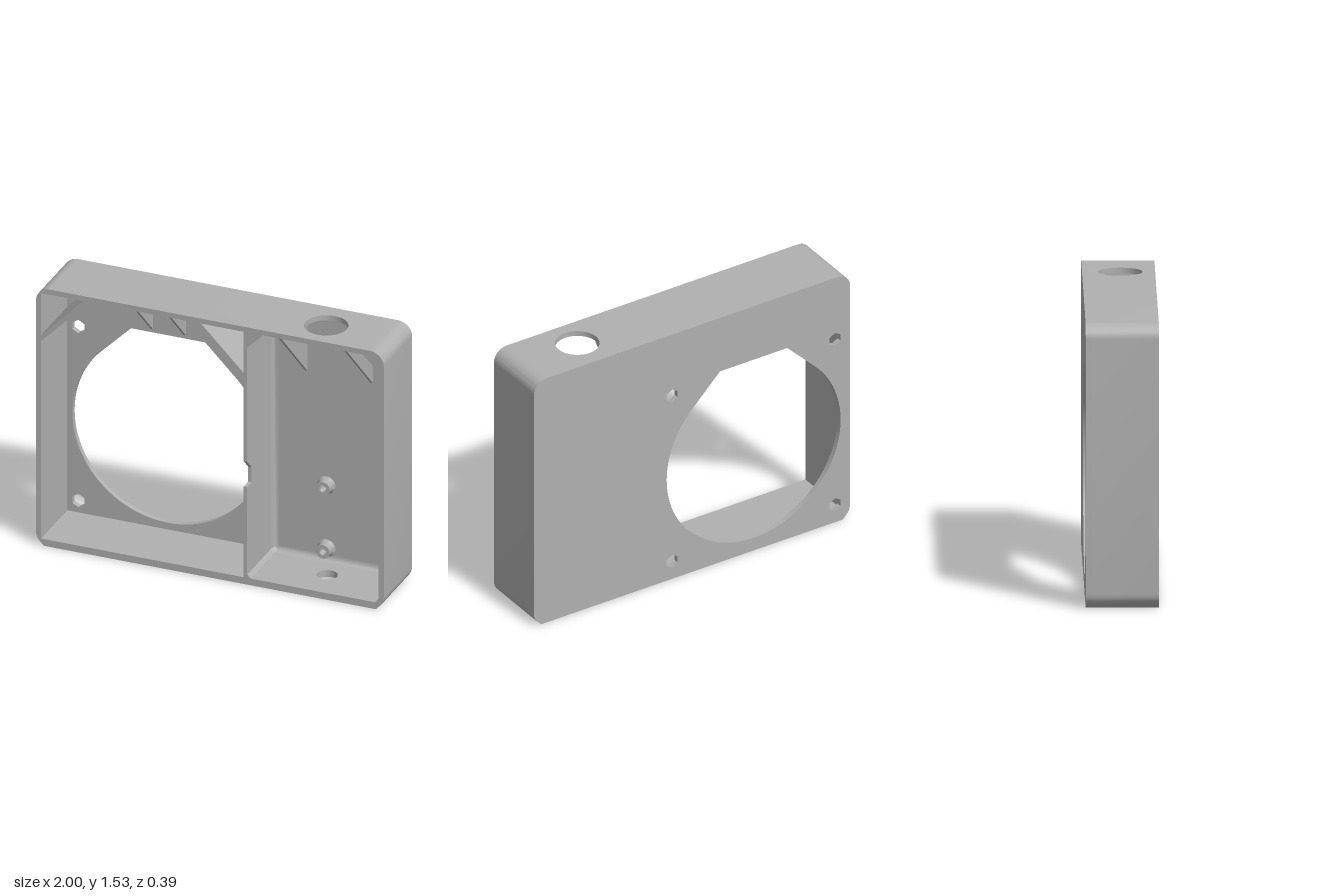
import * as THREE from 'three';
import { toCreasedNormals } from 'three/addons/utils/BufferGeometryUtils.js';

const BACK = -0.194, FLOOR = -0.164, FRONT = 0.194, DEPTH = FRONT - FLOOR;
const H = 1.53, TOP = 1.5, BASE = 0.04, R = 0.08;
const X1 = 0.45, X2 = 0.73; // span of the drilled wall panels

const poly = (pts, Type = THREE.Shape) => new Type(pts.map(p => new THREE.Vector2(p[0], p[1])));

// points along an arc, angles in degrees
function arc(cx, cy, r, a0, a1, n) {
  return Array.from({ length: n + 1 }, (_, i) => {
    const a = THREE.MathUtils.degToRad(a0 + (a1 - a0) * i / n);
    return [cx + r * Math.cos(a), cy + r * Math.sin(a)];
  });
}
const hexagon = (x, y, r) => arc(x, y, r, 90, 390, 5);
const circle = (x, y, r) => arc(x, y, r, 0, 352.5, 47);

// right half of the case outline, bottom to top: 45 degree foot, then rounded top
const rightSide = [[0.954, 0], ...arc(0.92, R, R, -45, 0, 6), ...arc(0.92, H - R, R, 0, 90, 12)];
const leftSide = rightSide.map(([x, y]) => [-x, y]).reverse(); // top to bottom

// bay outline inset by d, counter-clockwise from lower left
function bay(d) {
  const k = d * (Math.SQRT2 - 1), x0 = 0.215, x1 = 0.97, s = 0.02, c = 0.09;
  return [
    [x0 + s + k, BASE + d], [x1 - s - k, BASE + d], [x1 - d, BASE + s + k],
    [x1 - d, TOP - c - k], [x1 - c - k, TOP - d], [x0 + c + k, TOP - d],
    [x0 + d, TOP - c - k], [x0 + d, BASE + s + k],
  ];
}

export function createModel() {
  const group = new THREE.Group();
  const grey = new THREE.MeshStandardMaterial({ color: 0xb0b0b0 });
  grey.name = 'grey plastic';

  function add(name, geometry, x = 0, y = 0, z = 0) {
    const mesh = new THREE.Mesh(toCreasedNormals(geometry, 0.5), grey);
    mesh.name = name;
    mesh.position.set(x, y, z);
    group.add(mesh);
    return mesh;
  }
  function extrude(pts, depth, holes = []) {
    const shape = poly(pts);
    shape.holes = holes.map(h => poly(h, THREE.Path));
    return new THREE.ExtrudeGeometry(shape, { depth, bevelEnabled: false });
  }

  // back plate with the large flat-topped opening and four hexagonal screw holes
  const opening = [...arc(-0.39, 0.63, 0.55, 135, 405, 72), [-0.177, 1.195], [-0.603, 1.195]];
  const screws = [];
  for (const x of [-0.905, 0.125]) for (const y of [0.11, 1.145]) screws.push(hexagon(x, y, 0.04));
  add('backPlate', extrude([...rightSide, ...leftSide], FLOOR - BACK, [opening, ...screws]), 0, 0, BACK);

  // side walls; the left one carries the diagonal corner braces and their pockets
  const b = bay(0);
  add('mainWalls', extrude([
    [X1, H], ...leftSide, [X1, 0], [X1, BASE], b[0], b[7], [0.195, 0.06], [0.195, BASE],
    [-0.97, BASE], [-0.97, 1.215], [-0.69, TOP], [-0.085, TOP], [0.195, 1.22], [0.215, 1.22],
    b[6], b[5], [X1, TOP],
  ], DEPTH, [
    [[-0.97, 1.25], [-0.97, TOP], [-0.725, TOP]],
    [[0.195, 1.255], [0.195, TOP], [-0.05, TOP]],
  ]), 0, 0, FLOOR);
  add('bayWalls', extrude([
    [X2, 0], ...rightSide, [X2, H], [X2, TOP], b[4], b[3], b[2], b[1], [X2, BASE],
  ], DEPTH), 0, 0, FLOOR);

  // drilled panels in the top and bottom walls (drawn in x and -z, raised along y)
  const panel = [[X1, -FRONT], [X2, -FRONT], [X2, -FLOOR], [X1, -FLOOR]];
  add('topPanel', extrude(panel, H - TOP, [circle(0.592, -0.01, 0.118)]).rotateX(-Math.PI / 2), 0, TOP, 0);
  add('bottomPanel', extrude(panel, BASE, [circle(0.592, 0.003, 0.056)]).rotateX(-Math.PI / 2));

  // divider with a cable notch in its front edge (drawn in -z and y)
  add('divider', extrude([
    [-FLOOR, 0.06], [-FLOOR, 1.22], [-FRONT, 1.22], [-FRONT, 0.73],
    [-FRONT + 0.06, 0.67], [-FRONT + 0.06, 0.58], [-FRONT, 0.58], [-FRONT, 0.06],
  ], 0.02).rotateY(Math.PI / 2), 0.195);

  // triangular ribs under the top wall
  for (const [x, size] of [[-0.485, 0.285], [-0.295, 0.285], [0.403, 0.357], [0.78, 0.357]]) {
    add('rib', extrude([
      [-FLOOR, TOP], [-FLOOR, TOP - size], [-FLOOR - size, TOP],
    ], 0.014).rotateY(Math.PI / 2), x - 0.007);
  }

  // concave fillet where the bay floor meets its walls
  const f = 0.03, steps = 6, n = b.length, pos = [], idx = [];
  for (let i = 0; i <= steps; i++) {
    const a = i / steps * Math.PI / 2;
    for (const [x, y] of bay(f * (1 - Math.cos(a)))) pos.push(x, y, FLOOR + f * (1 - Math.sin(a)));
  }
  for (let i = 0; i < steps; i++) for (let j = 0; j < n; j++) {
    const p = i * n + j, q = i * n + (j + 1) % n;
    idx.push(p, q, q + n, p, q + n, p + n);
  }
  const fillet = new THREE.BufferGeometry();
  fillet.setAttribute('position', new THREE.Float32BufferAttribute(pos, 3));
  fillet.setIndex(idx);
  add('bayFillet', fillet);

  // standoffs with hexagonal sockets and flared feet
  const flare = [[0.052, 0], [0.046, 0.004], [0.042, 0.01], [0.04, 0.018]].map(p => new THREE.Vector2(...p));
  for (const x of [0.52, 0.895]) for (const y of [0.11, 0.485]) {
    add('standoff', extrude(circle(0, 0, 0.04), 0.05, [hexagon(0, 0, 0.022)]), x, y, FLOOR);
    add('standoffFoot', new THREE.LatheGeometry(flare, 32).rotateX(Math.PI / 2), x, y, FLOOR);
  }
  return group;
}
